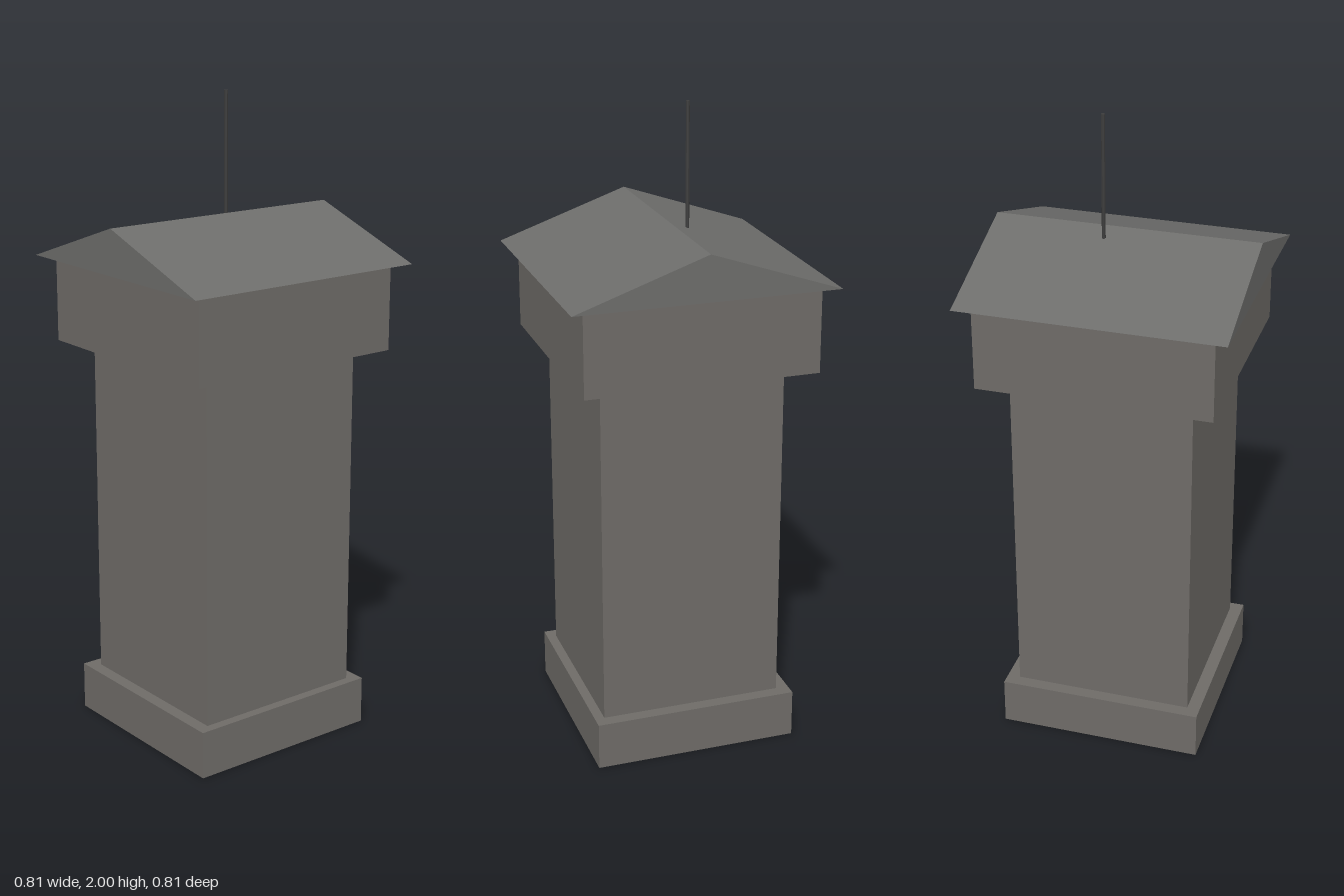
import * as THREE from 'three';

export function createModel() {
  const tower = new THREE.Group();
  tower.name = 'tower';
  const stone = new THREE.MeshStandardMaterial({ color: 0x6e6b67, flatShading: true });
  const slate = new THREE.MeshStandardMaterial({ color: 0x6d6d6b, flatShading: true });
  const iron = new THREE.MeshStandardMaterial({ color: 0x3c3c3c, flatShading: true });

  function add(name, geometry, material, x, y, z) {
    const mesh = new THREE.Mesh(geometry, material);
    mesh.name = name;
    mesh.position.set(x, y, z);
    tower.add(mesh);
  }

  // Stone block resting between two heights
  function block(name, width, depth, bottom, top, z = 0) {
    add(name, new THREE.BoxGeometry(width, top - bottom, depth), stone, 0, (bottom + top) / 2, z);
  }

  block('base', 0.64, 0.64, 0, 0.15);
  block('shaft', 0.56, 0.57, 0.15, 1.235, 0.005);
  block('upperChamber', 0.72, 0.72, 1.235, 1.495);

  // Gable roof with its ridge along x, a hairline above the chamber
  const half = 0.405;
  const gable = new THREE.Shape();
  gable.moveTo(-half, 0);
  gable.lineTo(half, 0);
  gable.lineTo(0, 0.14);
  gable.closePath();
  const roof = new THREE.ExtrudeGeometry(gable, { depth: 2 * half, bevelEnabled: false });
  roof.translate(0, 0, -half);
  roof.rotateY(Math.PI / 2);
  add('roof', roof, slate, 0, 1.501, 0);

  // Thin mast just behind the ridge
  add('mast', new THREE.CylinderGeometry(0.006, 0.006, 0.45, 8), iron, 0.057, 1.775, -0.052);

  return tower;
}
